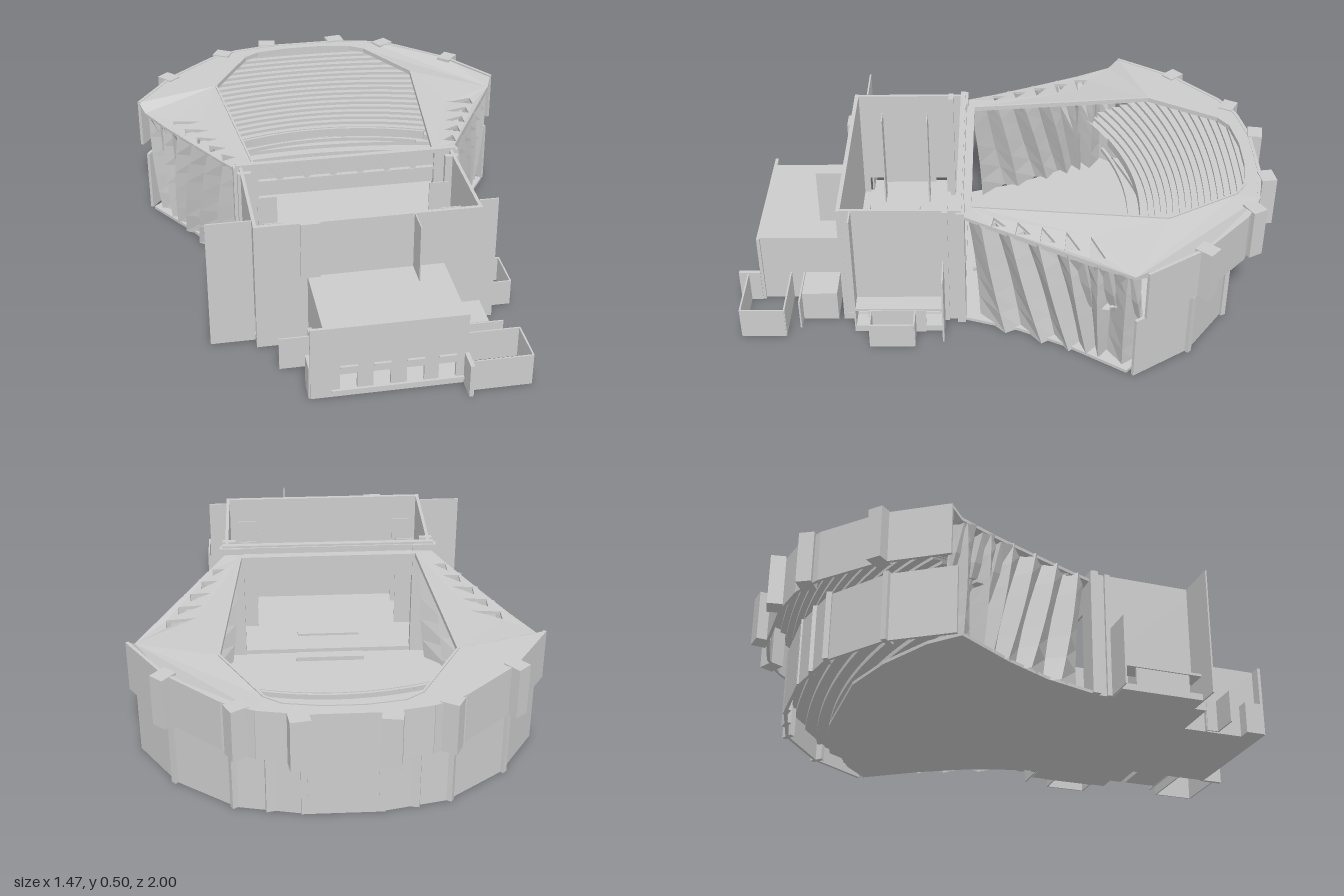
import * as THREE from 'three';

const mat = new THREE.MeshStandardMaterial({ color: 0xcccccc, flatShading: true, side: THREE.DoubleSide });

export function createModel() {
  const model = new THREE.Group();
  const add = (name, geo, parent = model) => {
    const m = new THREE.Mesh(geo, mat);
    m.name = name;
    parent.add(m);
    return m;
  };
  // Box given by its limits
  const box = (name, x0, x1, y0, y1, z0, z1) => {
    const m = add(name, new THREE.BoxGeometry(x1 - x0, y1 - y0, z1 - z0));
    m.position.set((x0 + x1) / 2, (y0 + y1) / 2, (z0 + z1) / 2);
    return m;
  };
  // Upright wall along a plan path of [x, z] points
  const wall = (name, pts, y0, y1, t = 0.012) => {
    const g = new THREE.Group();
    g.name = name;
    for (let i = 0; i < pts.length - 1; i++) {
      const [ax, az] = pts[i], [bx, bz] = pts[i + 1];
      const m = add(name + 'Panel', new THREE.BoxGeometry(Math.hypot(bx - ax, bz - az), y1 - y0, t), g);
      m.position.set((ax + bx) / 2, (y0 + y1) / 2, (az + bz) / 2);
      m.rotation.y = -Math.atan2(bz - az, bx - ax);
    }
    model.add(g);
  };
  // Flat slab from a plan outline with optional holes
  const slab = (name, pts, y0, y1, holes = []) => {
    const v = (p) => p.map(([x, z]) => new THREE.Vector2(x, -z));
    const s = new THREE.Shape(v(pts));
    holes.forEach((h) => s.holes.push(new THREE.Path(v(h))));
    const geo = new THREE.ExtrudeGeometry(s, { depth: y1 - y0, bevelEnabled: false });
    geo.rotateX(-Math.PI / 2).translate(0, y0, 0);
    return add(name, geo);
  };
  // Surface from rows of equal-length [x, y, z] sections
  const loft = (name, rows) => {
    const n = rows[0].length, idx = [];
    for (let i = 0; i < rows.length - 1; i++)
      for (let j = 0; j < n - 1; j++) {
        const a = i * n + j, b = a + n;
        idx.push(a, a + 1, b, b, a + 1, b + 1);
      }
    const geo = new THREE.BufferGeometry();
    geo.setAttribute('position', new THREE.Float32BufferAttribute(rows.flat(2), 3));
    geo.setIndex(idx);
    const flat = geo.toNonIndexed();
    flat.computeVertexNormals();
    add(name, flat);
  };
  const mirror = (half) => [...half, ...half.slice().reverse().map(([x, z]) => [-x, z])];

  // Plan outlines, each listed for the +x half from front to back
  const ring = [[0.73, -0.48], [0.59, -0.69], [0.4, -0.86], [0.29, -0.915], [0.13, -0.945]];
  const base = [[0.71, -0.45], [0.57, -0.66], [0.36, -0.81], [0.12, -0.86]];
  const hole = [[0.34, 0.12], [0.41, -0.58], [0.26, -0.84], [0.2, -0.88], [0.07, -0.9]];
  const halfWidth = (half, z) => {
    const p = [[0.4, 0.15], ...half];
    for (let i = 0; i < p.length - 1; i++)
      if (z <= p[i][1] && z >= p[i + 1][1])
        return p[i][0] + (p[i + 1][0] - p[i][0]) * (z - p[i][1]) / (p[i + 1][1] - p[i][1]);
    return z > 0 ? 0.4 : 0.05;
  };

  // Floor and rear walls of the hall
  const floor = [[0.4, 0.17], [0.47, -0.05], [0.56, -0.22], [0.7, -0.43], [0.6, -0.52], [0.4, -0.62], [0.2, -0.68]];
  slab('hallFloor', mirror(floor), 0, 0.012);
  wall('lowerRearWall', mirror(base), 0, 0.25);
  wall('upperRearWall', mirror(ring), 0.28, 0.472);

  // Piers on the rear walls
  for (const s of [-1, 1]) {
    for (const [x, z, a] of [[0.15, -0.968, 0.15], [0.35, -0.893, 0.5], [0.595, -0.695, 0.85]]) {
      const p = box('upperPier', x - 0.035, x + 0.035, 0.28, 0.475, z - 0.028, z + 0.028);
      p.position.x *= s;
      p.rotation.y = s * a;
    }
    for (const [x, z, a] of [[0.12, -0.855, 0.1], [0.24, -0.835, 0.2], [0.36, -0.805, 0.5], [0.57, -0.65, 0.8]]) {
      const p = box('lowerPier', x - 0.025, x + 0.025, 0, 0.255, z - 0.01, z + 0.01);
      p.position.x *= s;
      p.rotation.y = s * a;
    }
  }

  // Roof deck around the open hall: a zigzag of long openings and a drooping edge at the sides
  const openings = [];
  for (const s of [-1, 1])
    for (let i = 0; i < 5; i++) {
      const z = 0.03 - i * 0.085;
      const out = halfWidth(ring, z), inn = 0.35 - z * 0.1;
      const at = (f, dz) => [s * (inn + (out - inn) * f), z + dz];
      openings.push([at(0.45, 0.01), at(0.86, 0.02), at(0.86, -0.035)]);
    }
  const sideEdge = [0.05, -0.15, -0.3, -0.44].map((z) => [halfWidth(ring, z), z]);
  const deck = slab('roofDeck', mirror([[0.4, 0.15], ...sideEdge, ...ring]), 0.458, 0.47, [mirror(hole), ...openings]);
  const pos = deck.geometry.attributes.position;
  for (let i = 0; i < pos.count; i++) {
    const z = pos.getZ(i), out = (Math.abs(pos.getX(i)) - 0.37) / 0.25;
    if (z > -0.46 && z < 0.1) pos.setY(i, pos.getY(i) - 0.03 * THREE.MathUtils.clamp(out, 0, 1));
  }
  deck.geometry.computeVertexNormals();
  wall('roofOpeningCurb', mirror(hole), 0.456, 0.474, 0.008);

  // Slanting pleated side walls: broad faces with short returns, leaning back towards the floor
  const pleats = 6;
  for (const s of [-1, 1]) {
    const rows = [];
    for (let k = 0; k <= 5; k++) {
      const v = k / 5, row = [];
      for (let i = 0; i <= pleats * 2; i++) {
        const u = (Math.floor(i / 2) + (i % 2 ? 0.75 : 0)) / pleats;
        const t = Math.min(1, u + 0.2 * (1 - v) * Math.sin(Math.PI * Math.min(1, u * 1.05 + 0.12)));
        const off = (i % 2 ? 0.025 : -0.04) * (0.8 + 0.4 * Math.sin(Math.PI * v));
        const x = 0.395 + 0.295 * t - 0.03 * t * (1 - v);
        row.push([s * (x + off * 0.9), (0.462 - 0.027 * t) * v, 0.15 - 0.6 * t + off * 0.45]);
      }
      rows.push(row);
    }
    loft('pleatedSideWall', rows);
    // Faceted folds where the pleats meet the upper wall
    for (let i = 0; i < 3; i++) {
      const z = -0.27 - i * 0.08, x = halfWidth(ring, z), y = 0.2 + i * 0.01;
      loft('sideFold', [
        [[s * (x - 0.02), 0.435, z + 0.05], [s * (x - 0.005), 0.43, z], [s * (x - 0.06), 0.435, z - 0.02]],
        [[s * (x - 0.06), 0.33, z + 0.03], [s * (x - 0.01), 0.31, z - 0.025], [s * (x - 0.05), 0.32, z - 0.04]],
        [[s * (x - 0.05), y, z - 0.03], [s * (x - 0.04), y, z - 0.04], [s * (x - 0.05), y, z - 0.05]],
      ]);
    }
  }

  // Curved, stepped seating rows
  const seating = (name, count, z0, z1, y0, y1, curve, outline) => {
    const rows = [], n = 24;
    const section = (z, y, k) => {
      let w = 0.4;
      for (let i = 0; i < 14; i++) w = (w + Math.min(0.64, halfWidth(outline, z + k * w * w) - 0.02)) / 2;
      return Array.from({ length: n + 1 }, (_, j) => {
        const x = w * (j / n * 2 - 1);
        return [x, y, z + k * x * x];
      });
    };
    for (let i = 0; i <= count; i++) {
      const f = i / count, z = z0 + (z1 - z0) * f, k = curve * (1 - 0.75 * f);
      if (i) rows.push(section(z, y0 + (y1 - y0) * (i - 1) / count, k));
      rows.push(section(z, y0 + (y1 - y0) * f, k));
    }
    loft(name, rows);
  };
  seating('balconySeating', 17, -0.53, -0.91, 0.24, 0.445, 0.48, ring);
  seating('stallsSeating', 7, -0.56, -0.84, 0.012, 0.13, 0.35, base);

  // Balcony front
  const edge = (z, w) => Array.from({ length: 17 }, (_, j) => {
    const x = w * (j / 8 - 1);
    return [x, z + 0.48 * x * x];
  });
  wall('balconyParapet', edge(-0.525, 0.44), 0.225, 0.26, 0.01);
  wall('balconyRail', edge(-0.48, 0.4), 0.225, 0.24, 0.012);

  // Stage house: open-topped walls with low side openings
  box('stageFloor', -0.4, 0.4, 0, 0.03, 0.15, 0.6);
  box('stageFrontWall', -0.4, 0.4, 0, 0.495, 0.585, 0.6);
  for (const s of [-1, 1]) {
    wall('stageSideWall', [[s * 0.393, 0.15], [s * 0.393, 0.6]], 0.1, 0.495);
    wall('stageSideFoot', [[s * 0.393, 0.15], [s * 0.393, 0.24]], 0, 0.1);
    wall('stageSideFoot', [[s * 0.393, 0.56], [s * 0.393, 0.6]], 0, 0.1);
    wall('prosceniumJamb', [[s * 0.33, 0.16], [s * 0.42, 0.16]], 0, 0.495, 0.03);
    wall('stageReturn', [[s * 0.36, 0.215], [s * 0.41, 0.215]], 0, 0.495, 0.02);
    for (const z of [0.31, 0.49]) wall('stageCurtain', [[s * 0.28, z], [s * 0.35, z]], 0.05, 0.44, 0.005);
    box('sideAnnexRoof', s > 0 ? 0.4 : -0.48, s > 0 ? 0.47 : -0.4, 0.095, 0.105, 0.23, 0.55);
    box('sideAnnexFloor', s > 0 ? 0.4 : -0.48, s > 0 ? 0.47 : -0.4, 0, 0.025, 0.23, 0.55);
    wall('sideAnnexWall', [[s * 0.47, 0.29], [s * 0.47, 0.5]], 0, 0.1, 0.008);
  }
  wall('leftWingPanel', [[0.4, 0.55], [0.47, 0.55]], 0, 0.495, 0.006);
  wall('rightWingPanel', [[-0.56, 0.55], [-0.4, 0.55]], 0, 0.495, 0.006);
  wall('leftRearPanel', [[0.4, 0.225], [0.53, 0.225]], 0, 0.27, 0.006);
  wall('rightRearPanel', [[-0.53, 0.225], [-0.4, 0.225]], 0, 0.27, 0.006);
  wall('sideDock', [[0.47, 0.33], [0.555, 0.33], [0.555, 0.49], [0.47, 0.49]], 0, 0.1, 0.006);

  // Proscenium header with its zigzag truss
  box('prosceniumHeader', -0.4, 0.4, 0.36, 0.495, 0.15, 0.158);
  box('trussTopChord', -0.41, 0.41, 0.488, 0.503, 0.155, 0.175);
  box('trussBottomChord', -0.4, 0.4, 0.42, 0.43, 0.158, 0.175);
  for (let i = 0; i < 16; i++) {
    const b = add('trussBrace', new THREE.BoxGeometry(0.085, 0.008, 0.008));
    b.position.set(-0.375 + i * 0.05, 0.459, 0.168);
    b.rotation.z = i % 2 ? 0.93 : -0.93;
  }
  box('stageTrap', -0.13, 0.12, 0.03, 0.04, 0.25, 0.295);
  box('pitTrap', -0.14, 0.13, 0.012, 0.03, 0.085, 0.125);

  // Front annex with a row of windows
  box('annexRoof', -0.21, 0.27, 0.27, 0.28, 0.6, 0.92);
  box('annexFloor', -0.21, 0.27, 0, 0.03, 0.6, 0.92);
  wall('annexSideWall', [[-0.21, 0.6], [-0.21, 0.915]], 0, 0.28);
  wall('annexSideWall', [[0.264, 0.6], [0.264, 0.915]], 0, 0.28);
  const windowX = [-0.13, -0.015, 0.1, 0.21];
  const path = (pts) => pts.map(([x, y]) => new THREE.Vector2(x, y));
  const face = new THREE.Shape(path([[-0.26, 0], [0.28, 0], [0.28, 0.28], [-0.26, 0.28]]));
  for (const x of windowX) {
    face.holes.push(new THREE.Path(path([[x - 0.03, 0.03], [x + 0.03, 0.03], [x + 0.03, 0.09], [x - 0.03, 0.09]])));
    box('windowCanopy', x - 0.03, x + 0.03, 0.12, 0.126, 0.92, 0.93);
  }
  add('annexFacade', new THREE.ExtrudeGeometry(face, { depth: 0.012, bevelEnabled: false }).translate(0, 0, 0.908));
  box('facadeSill', -0.19, 0.27, 0.02, 0.03, 0.92, 0.93);
  box('annexCornerRoom', -0.265, -0.21, 0, 0.125, 0.84, 0.915);
  wall('annexStub', [[-0.34, 0.735], [-0.23, 0.735], [-0.23, 0.69], [-0.2, 0.69]], 0, 0.125, 0.006);
  box('annexSideRoom', 0.27, 0.4, 0, 0.12, 0.62, 0.75);
  wall('annexSideScreen', [[0.27, 0.755], [0.45, 0.755]], 0, 0.12, 0.006);
  wall('porchWalls', [[0.27, 0.805], [0.495, 0.805], [0.495, 0.965], [0.28, 0.965]], 0, 0.12, 0.006);
  wall('porchEndWall', [[0.276, 0.92], [0.276, 1.0]], 0, 0.125, 0.015);
  box('frontPilaster', -0.24, -0.17, 0.28, 0.495, 0.6, 0.61);
  wall('frontFin', [[0.16, 0.6], [0.16, 0.695]], 0.28, 0.495, 0.004);
  return model;
}
